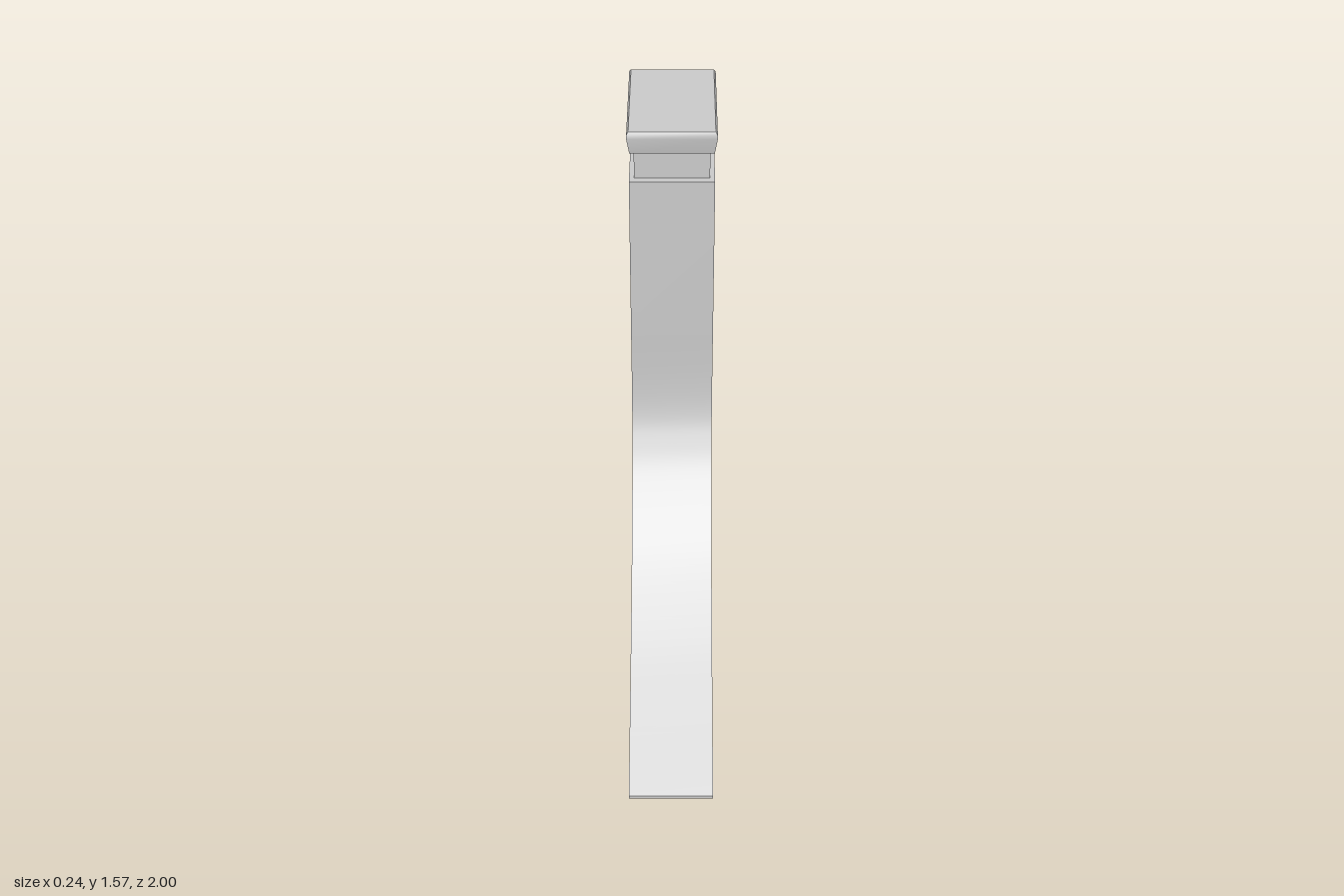
import * as THREE from 'three';
import { toCreasedNormals } from 'three/addons/utils/BufferGeometryUtils.js';

const material = new THREE.MeshStandardMaterial({ color: 0xcccccc });
const MID_Z = -0.01;

function part(name, geometry) {
  const mesh = new THREE.Mesh(geometry, material);
  mesh.name = name;
  return mesh;
}

// Smooth curve through [z, y] points
const curve = (pts) =>
  new THREE.SplineCurve(pts.map(([z, y]) => new THREE.Vector2(z, y))).getPoints(40);

// Flared side profile, extruded across the width
function flaredBody() {
  const front = curve([
    [1, 0.01], [0.8, 0.11], [0.6, 0.22], [0.4, 0.36], [0.26, 0.505],
    [0.2, 0.595], [0.17, 0.67], [0.16, 0.78], [0.163, 0.95],
  ]);
  const back = curve([
    [-0.182, 0.95], [-0.184, 0.78], [-0.196, 0.67], [-0.232, 0.59], [-0.3, 0.49],
    [-0.41, 0.375], [-0.6, 0.23], [-0.8, 0.11], [-1, 0.01],
  ]);
  const shape = new THREE.Shape([
    new THREE.Vector2(-1, 0), new THREE.Vector2(1, 0),
    ...front,
    new THREE.Vector2(0.165, 1.42), new THREE.Vector2(-0.182, 1.42),
    ...back,
  ]);
  const width = 0.226;
  const geometry = new THREE.ExtrudeGeometry(shape, { depth: width, bevelEnabled: false });
  geometry.translate(0, 0, -width / 2).rotateY(-Math.PI / 2);
  return toCreasedNormals(geometry, 0.5);
}

// Box whose rows follow rectangular sections [y, halfX, halfZ], bottom to top
function loftedBox(sections) {
  const rows = sections.length - 1;
  const geometry = new THREE.BoxGeometry(2, rows, 2, 1, rows, 1);
  const p = geometry.attributes.position;
  for (let i = 0; i < p.count; i++) {
    const [y, hx, hz] = sections[Math.round(p.getY(i) + rows / 2)];
    p.setXYZ(i, p.getX(i) * hx, y, p.getZ(i) * hz + MID_Z);
  }
  return toCreasedNormals(geometry, 0.9);
}

export function createModel() {
  const model = new THREE.Group();
  model.name = 'flaredPillar';
  model.add(part('body', flaredBody()));
  model.add(part('neck', loftedBox([[1.415, 0.1, 0.153], [1.51, 0.1, 0.153]])));
  model.add(part('cap', loftedBox([
    [1.505, 0.111, 0.174], [1.55, 0.118, 0.183],
    [1.562, 0.118, 0.183], [1.57, 0.113, 0.178],
  ])));
  return model;
}
